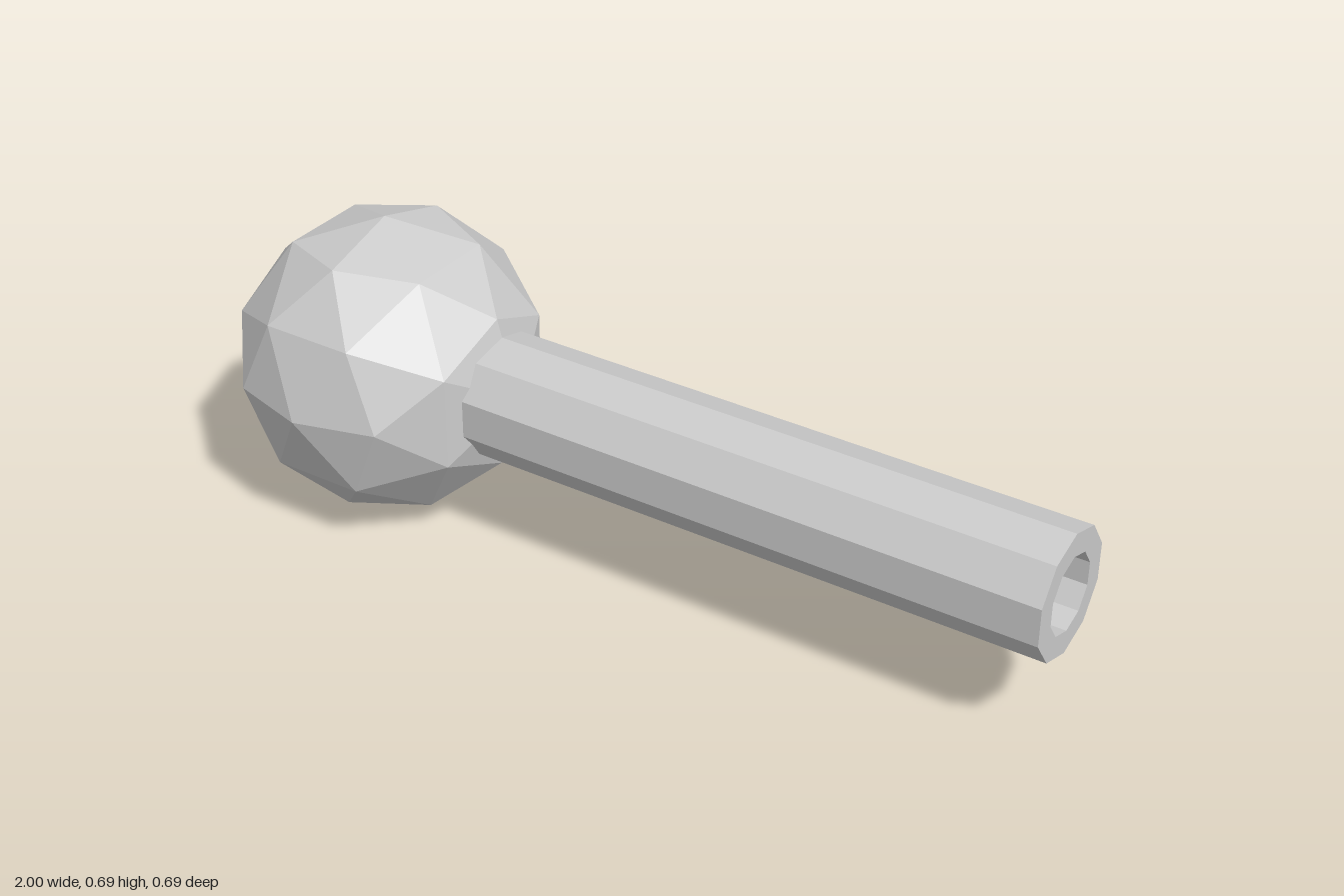
import * as THREE from 'three';

const R = 0.3465;          // ball radius, also the height of the axis
const BALL_X = -1 + R;

export function createModel() {
  const group = new THREE.Group();
  const material = new THREE.MeshStandardMaterial({ color: 0xcccccc, flatShading: true });

  // Faceted ball, turned so an edge midpoint lies on every axis
  const ball = new THREE.Mesh(new THREE.IcosahedronGeometry(R, 1).rotateX(Math.PI / 2), material);
  ball.name = 'ball';
  ball.position.set(BALL_X, R, 0);
  group.add(ball);

  // Ten-sided hollow tube along x, its inner end sunk into the ball
  const outer = 0.141, inner = 0.087, start = -0.5, end = 1;
  const profile = [
    [inner, start], [outer, start], [outer, end], [inner, end], [inner, start],
  ].map(([r, x]) => new THREE.Vector2(r, x));
  const tubeGeometry = new THREE.LatheGeometry(profile, 10, Math.PI / 2).rotateZ(-Math.PI / 2);
  const tube = new THREE.Mesh(tubeGeometry, material);
  tube.name = 'tube';
  tube.position.y = R;
  group.add(tube);

  return group;
}
